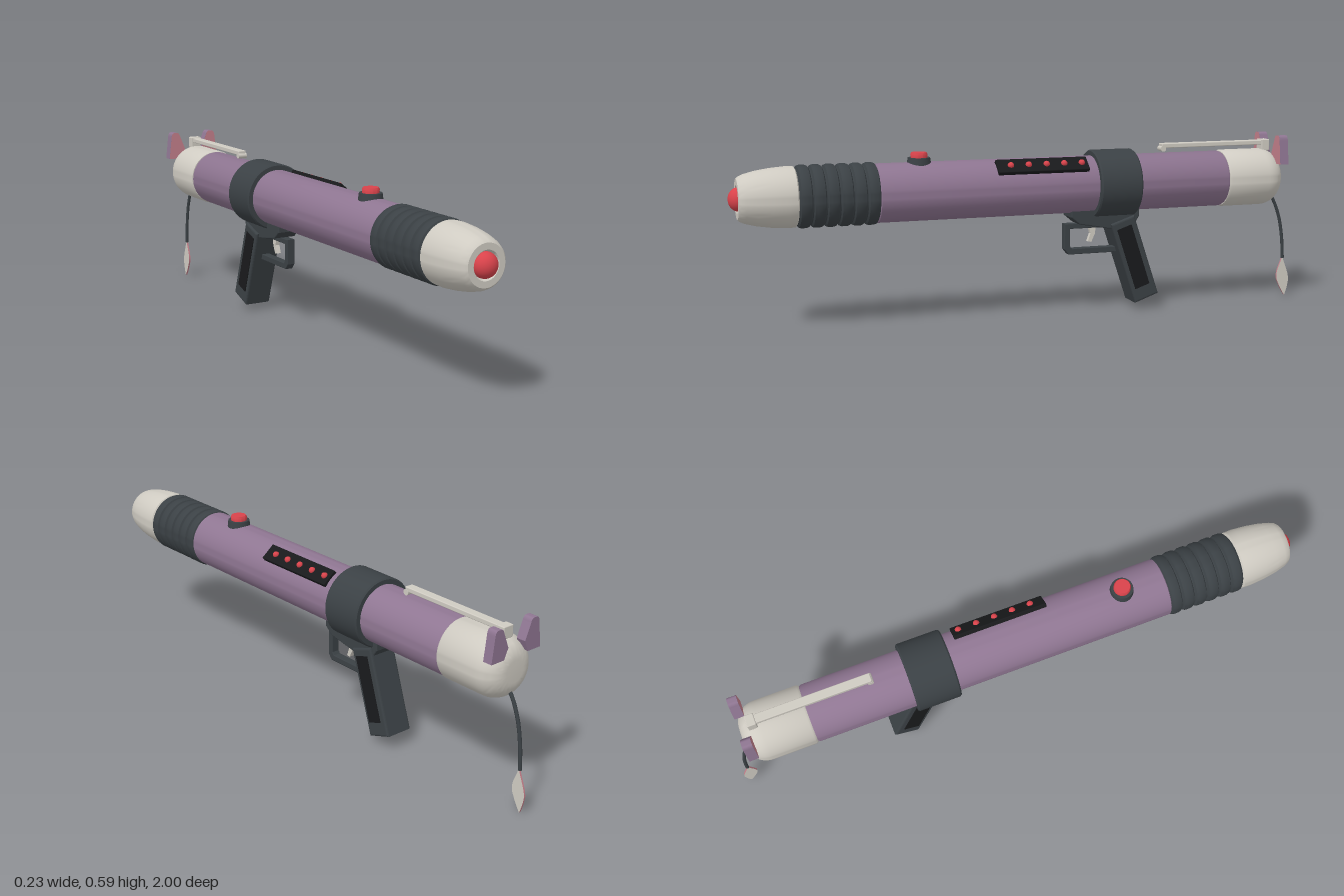
import * as THREE from 'three';
import { toCreasedNormals } from 'three/addons/utils/BufferGeometryUtils.js';
import { RoundedBoxGeometry } from 'three/addons/geometries/RoundedBoxGeometry.js';

const AXIS_Y = 0.444; // height of the tube's centre line

function material(name, color) {
  const m = new THREE.MeshStandardMaterial({ color });
  m.name = name;
  return m;
}

// Turned part along z from [radius, z] pairs, z rising
function turned(points, segments = 64) {
  const g = new THREE.LatheGeometry(points.map(([r, z]) => new THREE.Vector2(r, z)), segments);
  g.rotateX(Math.PI / 2);
  return toCreasedNormals(g, 0.6).translate(0, AXIS_Y, 0);
}

function outline(points) {
  return new THREE.Shape(points.map(([a, b]) => new THREE.Vector2(a, b)));
}

// Side profile of [z, y] pairs, given a width across x
function sideExtrude(shape, width, bevel = 0) {
  const g = new THREE.ExtrudeGeometry(shape, {
    depth: width - 2 * bevel, bevelEnabled: bevel > 0,
    bevelSize: bevel, bevelThickness: bevel, bevelOffset: -bevel, bevelSegments: 3,
  });
  g.translate(0, 0, -(width - 2 * bevel) / 2);
  return g.rotateY(-Math.PI / 2);
}

export function createModel() {
  const model = new THREE.Group();
  model.name = 'launcher';
  const purple = material('purple', 0x8f7692);
  const cream = material('cream', 0xcfcbc2);
  const dark = material('dark grey', 0x3b4145);
  const black = material('black', 0x191a1c);
  const red = material('red', 0xd9434b);
  const pink = material('pink', 0xc4808b);

  function add(name, geometry, mat, parent = model) {
    const mesh = new THREE.Mesh(geometry, mat);
    mesh.name = name;
    parent.add(mesh);
    return mesh;
  }

  // Main tube
  add('tube', turned([[0, -0.71], [0.092, -0.71], [0.097, -0.7], [0.097, 0.525], [0.09, 0.53], [0, 0.53]]), purple);

  // Ribbed sleeve behind the nose
  const ribs = [[0.09, 0.525]];
  const pitch = 0.0437;
  for (let i = 0; i < 6; i++) {
    const z = 0.525 + i * pitch;
    for (const [r, t] of [[0.092, 0.04], [0.099, 0.13], [0.102, 0.3], [0.102, 0.7], [0.099, 0.87], [0.092, 0.96]]) {
      ribs.push([r, z + t * pitch]);
    }
  }
  ribs.push([0.09, 0.79]);
  add('ribbedSleeve', turned(ribs), dark);

  // Nose cone with its lamp
  add('nose', turned([
    [0.09, 0.787], [0.098, 0.792], [0.099, 0.82], [0.095, 0.87], [0.088, 0.915], [0.079, 0.95],
    [0.072, 0.966], [0.065, 0.973], [0.045, 0.973], [0.041, 0.968], [0.038, 0.95],
  ]), cream);
  const lamp = add('noseLamp', new THREE.SphereGeometry(0.039, 40, 24), red);
  lamp.scale.z = 0.9;
  lamp.position.set(0, AXIS_Y, 0.965);

  // Rounded rear cap
  const cap = [[0, -0.93], [0.035, -0.93]];
  for (let i = 1; i <= 10; i++) {
    const a = (i / 10) * Math.PI / 2;
    cap.push([0.035 + 0.065 * Math.sin(a), -0.86 - 0.07 * Math.cos(a)]);
  }
  cap.push([0.1, -0.715], [0.096, -0.708], [0.08, -0.708]);
  add('rearCap', turned(cap), cream);

  // Collar around the tube
  add('collar', turned([
    [0.09, -0.372], [0.112, -0.372], [0.116, -0.367], [0.116, -0.227], [0.112, -0.222], [0.09, -0.222],
  ]), dark);

  // Mount, grip, trigger guard and trigger
  add('gripMount', sideExtrude(outline([
    [-0.14, 0.37], [-0.14, 0.335], [-0.17, 0.31], [-0.28, 0.29], [-0.37, 0.3], [-0.39, 0.33], [-0.39, 0.37],
  ]), 0.082, 0.004), dark);
  add('grip', sideExtrude(outline([
    [-0.282, 0.305], [-0.368, 0.334], [-0.462, 0.054], [-0.376, 0.024],
  ]), 0.1, 0.007), dark);
  const panel = sideExtrude(outline([
    [-0.304, 0.285], [-0.356, 0.303], [-0.426, 0.092], [-0.374, 0.074],
  ]), 0.004);
  for (const side of [1, -1]) add('gripPanel', panel, black).position.x = side * 0.0505;

  const guard = outline([
    [-0.125, 0.31], [-0.125, 0.222], [-0.14, 0.203], [-0.33, 0.203], [-0.33, 0.31],
  ]);
  guard.holes.push(new THREE.Path([
    [-0.145, 0.292], [-0.31, 0.292], [-0.31, 0.223], [-0.152, 0.223], [-0.145, 0.232],
  ].map(([z, y]) => new THREE.Vector2(z, y))));
  add('triggerGuard', sideExtrude(guard, 0.028, 0.002), dark);
  add('trigger', sideExtrude(outline([
    [-0.213, 0.31], [-0.243, 0.31], [-0.238, 0.27], [-0.225, 0.242], [-0.212, 0.244], [-0.222, 0.272],
  ]), 0.016), cream);

  // Push button on top
  const base = add('buttonBase', new THREE.CylinderGeometry(0.037, 0.041, 0.03, 32), dark);
  base.position.set(0, 0.541, 0.38);
  const button = add('button', toCreasedNormals(new THREE.LatheGeometry([
    [0.028, 0], [0.028, 0.012], [0.025, 0.017], [0, 0.017],
  ].map(([r, y]) => new THREE.Vector2(r, y)), 32), 0.6), red);
  button.position.set(0, 0.556, 0.38);

  // Indicator strip on the upper left
  const strip = new THREE.Group();
  strip.name = 'indicatorStrip';
  strip.position.y = AXIS_Y;
  strip.rotation.z = -0.69;
  model.add(strip);
  add('stripPlate', new RoundedBoxGeometry(0.06, 0.022, 0.32, 2, 0.003), black, strip).position.set(0, 0.095, -0.028);
  for (let i = 0; i < 5; i++) {
    add('indicatorLight', new THREE.SphereGeometry(0.011, 16, 12), red, strip).position.set(0, 0.106, 0.085 - i * 0.0625);
  }

  // Sight rail above the rear
  add('sightRail', new RoundedBoxGeometry(0.03, 0.016, 0.41, 2, 0.003), cream).position.set(0, 0.566, -0.688);
  add('railPost', new RoundedBoxGeometry(0.04, 0.04, 0.03, 2, 0.003), cream).position.set(0, 0.557, -0.882);
  const peg = add('railPeg', new THREE.CylinderGeometry(0.01, 0.01, 0.032, 16), cream);
  peg.rotation.z = Math.PI / 2;
  peg.position.set(0, 0.556, -0.488);

  // Ears: purple shell with a pink front
  function earShape(side) {
    const s = new THREE.Shape();
    s.moveTo(side * 0.102, 0.495);
    s.lineTo(side * 0.092, 0.578);
    s.quadraticCurveTo(side * 0.09, 0.595, side * 0.08, 0.595);
    s.lineTo(side * 0.069, 0.595);
    s.quadraticCurveTo(side * 0.06, 0.595, side * 0.056, 0.582);
    s.lineTo(side * 0.035, 0.53);
    s.lineTo(side * 0.05, 0.495);
    return s;
  }
  for (const side of [1, -1]) {
    const shell = new THREE.ExtrudeGeometry(earShape(side), { depth: 0.032, bevelEnabled: false });
    add('ear', shell, purple).position.z = -0.93;
    add('earFront', new THREE.ShapeGeometry(earShape(side)), pink).position.z = -0.8975;
  }

  // Tail cord with a flat leaf-shaped tip
  const cord = new THREE.CatmullRomCurve3([
    [-0.89, 0.395], [-0.92, 0.37], [-0.952, 0.3], [-0.968, 0.22], [-0.974, 0.14],
  ].map(([z, y]) => new THREE.Vector3(0, y, z)));
  add('tailCord', new THREE.TubeGeometry(cord, 24, 0.006, 8), dark);
  const leaf = new THREE.Shape();
  leaf.moveTo(-0.972, 0.148);
  leaf.bezierCurveTo(-0.965, 0.115, -0.938, 0.085, -0.957, 0.05);
  leaf.quadraticCurveTo(-0.968, 0.025, -0.984, 0.002);
  leaf.quadraticCurveTo(-0.996, 0.03, -0.999, 0.06);
  leaf.bezierCurveTo(-0.998, 0.09, -0.98, 0.115, -0.972, 0.148);
  add('tailTip', sideExtrude(leaf, 0.006), [cream, pink]);

  return model;
}
